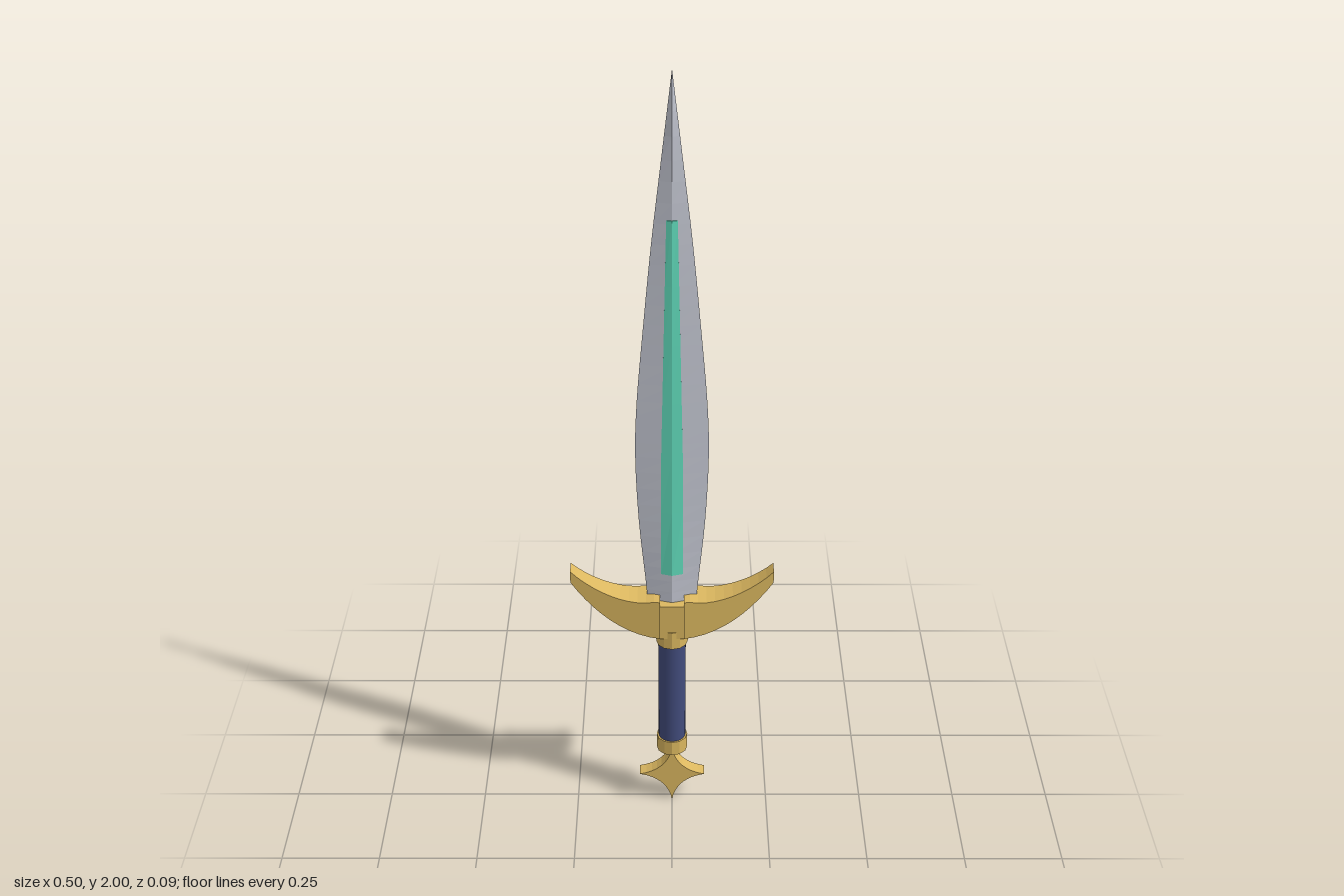
import * as THREE from 'three';

const mat = (color, extra = {}) => new THREE.MeshStandardMaterial({ color, ...extra });
const gold = mat(0xdcb860, { flatShading: true });
const steel = mat(0xc4c7d2, { flatShading: true });
const teal = mat(0x62dcbc, { flatShading: true });
const navy = mat(0x424c7c);

// Closed solid from stacked horizontal rings; each ring is a list of [x, z], counter-clockwise seen from +z to +x
function loft(ys, ringAt) {
  const rings = ys.map(ringAt), n = rings[0].length, pos = [], idx = [];
  rings.forEach((ring, i) => ring.forEach(([x, z]) => pos.push(x, ys[i], z)));
  for (let i = 0; i < ys.length - 1; i++) {
    for (let j = 0; j < n; j++) {
      const a = i * n + j, b = i * n + (j + 1) % n;
      idx.push(a, b, b + n, a, b + n, a + n);
    }
  }
  const top = (ys.length - 1) * n;
  for (let j = 1; j < n - 1; j++) idx.push(0, j + 1, j, top, top + j, top + j + 1);
  const g = new THREE.BufferGeometry();
  g.setAttribute('position', new THREE.Float32BufferAttribute(pos, 3));
  g.setIndex(idx);
  const flat = g.toNonIndexed();
  flat.computeVertexNormals();
  return flat;
}

// Leaf outline of the blade: half width against height
const outline = new THREE.SplineCurve([
  [0.058, 0.6], [0.066, 0.7], [0.081, 0.87], [0.088, 1.05], [0.083, 1.2],
  [0.066, 1.4], [0.047, 1.6], [0.024, 1.8], [0.0005, 2],
].map(([x, y]) => new THREE.Vector2(x, y))).getPoints(32);

function halfWidth(y) {
  const i = Math.max(1, outline.findIndex((p) => p.y >= y));
  const a = outline[i - 1], b = outline[i];
  return THREE.MathUtils.mapLinear(y, a.y, b.y, a.x, b.x);
}
const halfDepth = (y) => THREE.MathUtils.mapLinear(y, 0.6, 2, 0.018, 0.007);

export function createModel() {
  const model = new THREE.Group();
  const add = (name, geometry, material, y = 0) => {
    const mesh = new THREE.Mesh(geometry, material);
    mesh.name = name;
    mesh.position.y = y;
    model.add(mesh);
    return mesh;
  };

  // Blade with a diamond cross-section
  add('blade', loft(outline.map((p) => p.y), (y, i) => {
    const w = outline[i].x, d = halfDepth(y);
    return [[0, d], [w, 0], [0, -d], [-w, 0]];
  }), steel);

  // Coloured ridge standing slightly proud of both blade faces
  add('bladeInlay', loft([0.72, 0.9, 1.05, 1.2, 1.35, 1.5, 1.66], (y) => {
    const w = THREE.MathUtils.mapLinear(Math.max(y, 1), 1, 1.66, 0.027, 0.013);
    const d = halfDepth(y) + 0.003;
    const s = halfDepth(y) * (1 - w / halfWidth(y)) + 0.002;
    return [[0, d], [w, s], [w, -s], [0, -d], [-w, -s], [-w, s]];
  }), teal);

  // Crescent guard: one wing outline, mirrored, thinning towards the tips
  for (const side of [1, -1]) {
    const wing = new THREE.Shape();
    wing.moveTo(0.03 * side, 0.545);
    wing.bezierCurveTo(0.12 * side, 0.55, 0.195 * side, 0.615, 0.252 * side, 0.7);
    wing.lineTo(0.252 * side, 0.732);
    wing.bezierCurveTo(0.195 * side, 0.675, 0.11 * side, 0.638, 0.045 * side, 0.655);
    wing.lineTo(0.03 * side, 0.655);
    wing.closePath();
    const g = new THREE.ExtrudeGeometry(wing, { depth: 2, bevelEnabled: false, curveSegments: 10 });
    g.translate(0, 0, -1);
    const p = g.attributes.position;
    for (let i = 0; i < p.count; i++) {
      p.setZ(i, p.getZ(i) * THREE.MathUtils.mapLinear(Math.abs(p.getX(i)), 0.03, 0.252, 0.043, 0.02));
    }
    g.computeVertexNormals();
    add(side > 0 ? 'guardLeft' : 'guardRight', g, gold);
  }
  add('guardCentre', new THREE.BoxGeometry(0.062, 0.098, 0.074), gold, 0.589);

  // Grip and its two collars
  add('grip', new THREE.CylinderGeometry(0.035, 0.035, 0.34, 24), navy, 0.36);
  add('upperCollar', new THREE.CylinderGeometry(0.04, 0.04, 0.05, 12), gold, 0.535);
  add('lowerCollar', new THREE.CylinderGeometry(0.04, 0.04, 0.042, 12), gold, 0.19);

  // Four-pointed star pommel with concave sides
  const star = new THREE.Shape();
  const R = 0.085, c = 0.019;
  star.moveTo(R, 0);
  for (let k = 0; k < 4; k++) {
    const a = k * Math.PI / 2, m = a + Math.PI / 4, e = a + Math.PI / 2;
    star.quadraticCurveTo(c * Math.cos(m), c * Math.sin(m), R * Math.cos(e), R * Math.sin(e));
  }
  const starGeometry = new THREE.ExtrudeGeometry(star, { depth: 0.036, bevelEnabled: false, curveSegments: 8 });
  starGeometry.translate(0, 0, -0.018);
  add('pommel', starGeometry, gold, 0.088);
  add('pommelNeck', new THREE.CylinderGeometry(0.014, 0.01, 0.03, 8), gold, 0.158);

  // Stand the lowest point on the ground
  const box = new THREE.Box3().setFromObject(model);
  model.children.forEach((m) => { m.position.y -= box.min.y; });
  return model;
}
